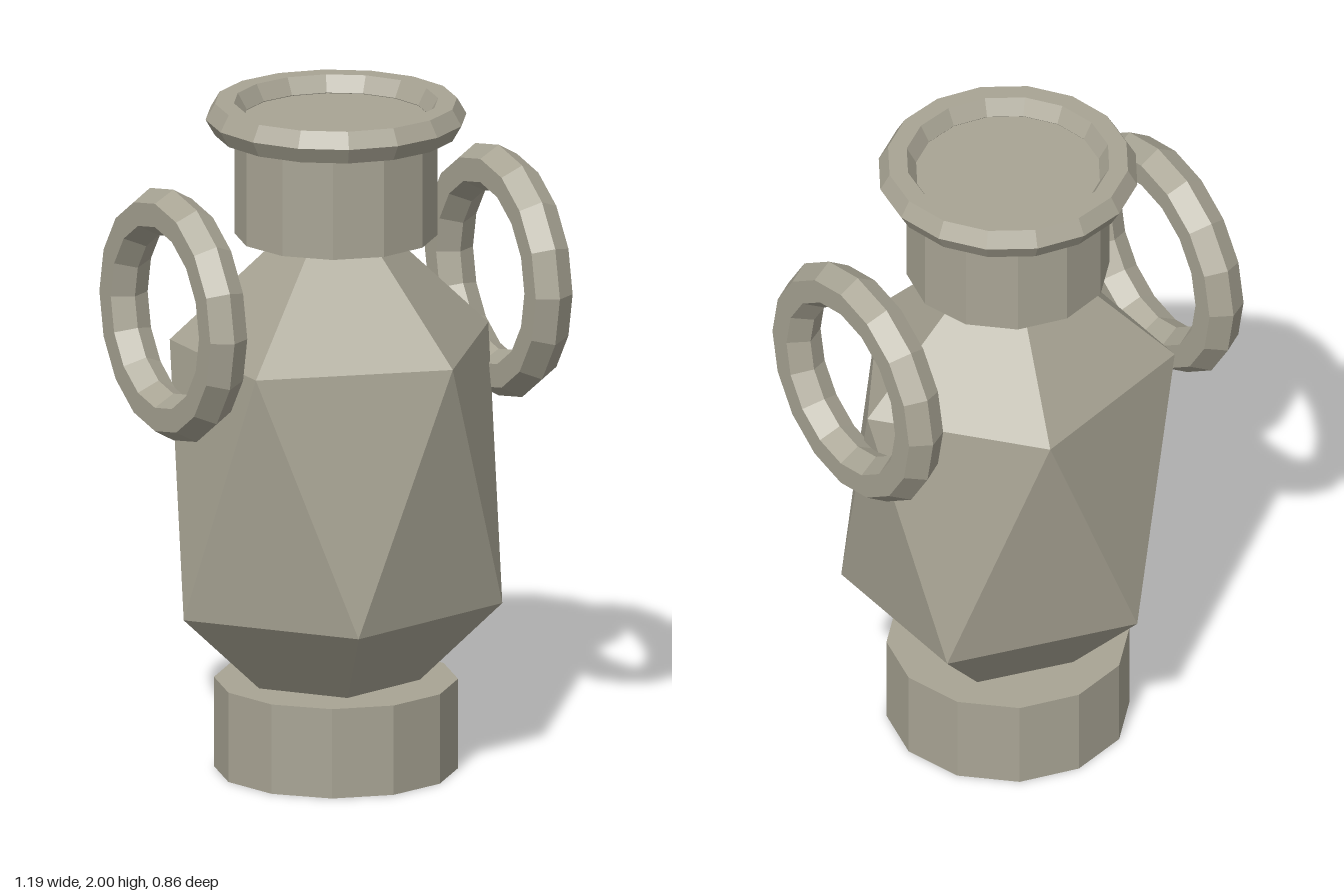
import * as THREE from 'three';

export function createModel() {
  const model = new THREE.Group();
  model.name = 'twoHandledVase';

  const stone = new THREE.MeshStandardMaterial({ color: 0xa8a494 });
  stone.name = 'weathered stone';

  // Adds a faceted mesh: unshared corners give every face its own normal
  const addPart = (name, geometry, x, y, z) => {
    const faceted = geometry.index ? geometry.toNonIndexed() : geometry;
    faceted.computeVertexNormals();
    const mesh = new THREE.Mesh(faceted, stone);
    mesh.name = name;
    mesh.position.set(x, y, z);
    model.add(mesh);
  };

  // Round foot
  addPart('foot', new THREE.CylinderGeometry(0.354, 0.354, 0.268, 12), 0, 0.134, 0);

  // Belly: icosahedron turned to stand on a corner, then stretched upwards
  const golden = (1 + Math.sqrt(5)) / 2;
  const belly = new THREE.IcosahedronGeometry(1, 0);
  belly.rotateZ(-Math.atan(1 / golden));
  belly.scale(0.56, 0.86, 0.503);
  addPart('belly', belly, 0, 0.888, 0);

  // Neck with a closed top
  addPart('neck', new THREE.CylinderGeometry(0.295, 0.295, 0.35, 12), 0, 1.775, 0);

  // Hexagonal-section lip around the mouth
  const lip = new THREE.TorusGeometry(0.325, 0.055, 6, 16);
  lip.rotateX(-Math.PI / 2);
  addPart('lip', lip, 0, 1.952, 0);

  // Ring handles, one on each side
  for (const [name, side] of [['leftHandle', 1], ['rightHandle', -1]]) {
    const ring = new THREE.TorusGeometry(0.306, 0.07, 6, 16);
    ring.rotateY(Math.PI / 2);
    addPart(name, ring, side * 0.535, 1.424, 0);
  }

  return model;
}
